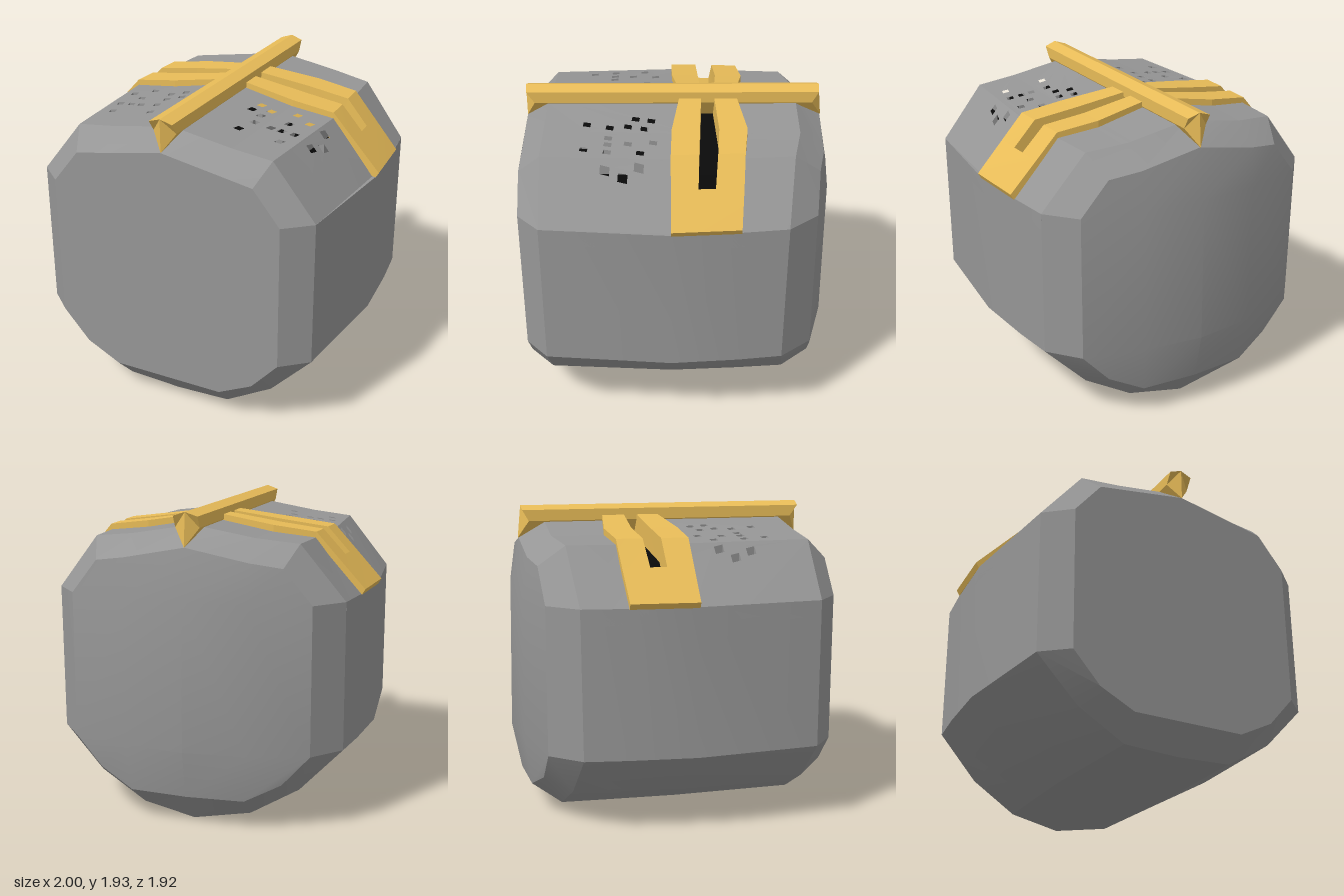
import * as THREE from 'three';
import { toCreasedNormals } from 'three/addons/utils/BufferGeometryUtils.js';

const GREY = 0x969696, GOLD = 0xe8bc58, BLACK = 0x0a0a0a;
const CREASE = 0.3;

// piecewise linear lookup through [input, output] pairs
function lerpTable(table, t) {
  if (t <= table[0][0]) return table[0][1];
  for (let i = 1; i < table.length; i++) {
    const [a, va] = table[i - 1], [b, vb] = table[i];
    if (t <= b) return va + (vb - va) * (t - a) / (b - a);
  }
  return table[table.length - 1][1];
}

// half cross-sections from top centre, down the left side, to bottom centre
const OUTER = [[0, 1.84], [0.385, 1.775], [0.64, 1.745], [0.91, 1.41], [0.91, 0.5], [0.65, 0.23], [0.35, 0.055], [0, 0.003]];
const INNER = [[0, 1.725], [0.385, 1.65], [0.58, 1.62], [0.75, 1.41], [0.75, 0.5], [0.58, 0.31], [0.36, 0.2], [0, 0.2]];
const CROWN = [[0, 1.41], [0.38, 1.41], [0.75, 1.41], [0.75, 1.41], [0.75, 0.5], [0.75, 0.5], [0.38, 0.5], [0, 0.5]];
// depth of the back rings at each point
const OUTER_Z = [-0.73, -0.73, -0.68, -0.64, -0.63, -0.66, -0.69, -0.74];
const INNER_Z = [-0.89, -0.88, -0.84, -0.82, -0.82, -0.83, -0.88, -0.905];
const CROWN_Z = [-0.95, -0.915, -0.82, -0.82, -0.82, -0.82, -0.92, -0.965];

// barrel swelling of the sides along z
const swell = (z) => lerpTable([[-0.64, 1], [-0.36, 1.04], [0.05, 1.077], [0.82, 1]], z);
const shellY = (x, z) => lerpTable(OUTER.slice(0, 4), Math.abs(x) / swell(z));
const bandScale = (z) => 1 - 0.03 * (0.05 - z) / 0.41;
const BAND_PROFILE = [[0, 1.875], [0.42, 1.815], [0.69, 1.78], [1, 1.44]];
const BAND_DEPTH = [[0.83, 0.15], [1, 0.035]];
const BAND_SHIFT = [[0.42, 0], [0.83, 0.06], [1, 0.02]];

function ring(half, zs, scale = 1) {
  const pts = half.map(([x, y], i) => [x * scale, y, Array.isArray(zs) ? zs[i] : zs]);
  const mirrored = pts.slice(1, -1).reverse().map(([x, y, z]) => [-x, y, z]);
  return pts.concat(mirrored);
}

// skin over rings running front to back, with a flat front and extra back faces
function loft(rings, backFaces, skip = () => false) {
  const pos = [];
  const fan = (pts) => {
    for (let i = 1; i < pts.length - 1; i++) pos.push(...pts[0], ...pts[i], ...pts[i + 1]);
  };
  const n = rings[0].length;
  for (let j = 0; j < rings.length - 1; j++) {
    for (let i = 0; i < n; i++) {
      const k = (i + 1) % n;
      if (!skip(i, j)) fan([rings[j][i], rings[j][k], rings[j + 1][k], rings[j + 1][i]]);
    }
  }
  const [first, ...rest] = rings[0];
  fan([first, ...rest.reverse()]);
  backFaces.forEach((face) => fan(face.map((i) => rings[rings.length - 1][i])));
  const g = new THREE.BufferGeometry();
  g.setAttribute('position', new THREE.Float32BufferAttribute(pos, 3));
  g.computeVertexNormals();
  return g;
}

// closed shell without the three upper facets on each side
function shellGeometry() {
  const front = ring(OUTER, 0.82);
  front[7][1] = 0.04;
  const rings = [
    ring(INNER, 0.957), front, ring(OUTER, 0.05, swell(0.05)), ring(OUTER, -0.36, swell(-0.36)),
    ring(OUTER, OUTER_Z), ring(INNER, INNER_Z), ring(CROWN, CROWN_Z),
  ];
  const crownFaces = [[0, 1, 6, 7], [1, 2, 5, 6], [0, 7, 8, 13], [13, 8, 9, 12]];
  return loft(rings, crownFaces, (i, j) => (i < 3 || i > 10) && j >= 1 && j <= 3);
}

// bar with a creased, pointed end: the lower shoulders sit back from the tips
function barGeometry() {
  const half = [[0, 1.93], [0.075, 1.905], [0.075, 1.835], [0, 1.725]];
  return loft(
    [ring(half, [0.957, 0.95, 0.9, 0.957]), ring(half, [-0.875, -0.87, -0.83, -0.895])],
    [[0, 1, 2, 3, 4, 5]]);
}

// slab from a plan outline in (x, z), each vertex moved by place(x, z, depth 0..1)
function slab(outline, holes, place) {
  const v = ([x, z]) => new THREE.Vector2(x, -z);
  const shape = new THREE.Shape(outline.map(v));
  holes.forEach((h) => shape.holes.push(new THREE.Path(h.map(v))));
  const g = new THREE.ExtrudeGeometry(shape, { depth: 1, bevelEnabled: false });
  const p = g.attributes.position;
  for (let i = 0; i < p.count; i++) p.setXYZ(i, ...place(p.getX(i), -p.getY(i), 1 - p.getZ(i)));
  g.computeVertexNormals();
  return g;
}

// breathing holes, as (x, z) centres grouped by facet
const HOLES = [
  [[0.265, 0.17], [0.35, 0.21], [0.245, 0.265], [0.325, 0.31], [0.335, 0.42], [0.3, 0.56]],
  [[0.5, 0.155], [0.61, 0.23], [0.51, 0.305], [0.445, 0.425], [0.515, 0.425], [0.595, 0.425], [0.565, 0.565]],
  [[0.71, 0.235], [0.745, 0.33], [0.71, 0.435]],
];

export function createModel() {
  const model = new THREE.Group();
  const add = (name, geometry, color, parent = model) => {
    const m = new THREE.Mesh(toCreasedNormals(geometry, CREASE), new THREE.MeshStandardMaterial({ color }));
    m.name = name;
    parent.add(m);
  };
  const group = (name) => {
    const g = new THREE.Group();
    g.name = name;
    model.add(g);
    return g;
  };

  add('helmetShell', shellGeometry(), GREY);
  add('ridgeBar', barGeometry(), GOLD);

  const face = group('piercedFacePlates');
  const visor = group('visorBand');
  // visor columns: [position, back edge, front edge, slit back, slit front]
  const cols = [
    [0, -0.35, -0.01, -0.215, -0.14], [0.42, -0.41, 0.045, -0.24, -0.125], [0.69, -0.385, 0.05, -0.225, -0.115],
    [0.83, -0.375, 0.05, -0.21, -0.11], [1, -0.36, 0.05],
  ];

  for (const side of [1, -1]) {
    // face plates, parted below the eye slit, and the dark lining under them
    const platePlace = (x, z, d) => [x, shellY(x, z) - 0.1 * d, z];
    const liningPlace = (x, z, d) => [x * 0.95, shellY(x, z) - 0.12 - 0.02 * d, z * 0.95];
    for (let f = 0; f < 3; f++) {
      const edge = (i, zs) => zs.map((z) => [side * OUTER[i][0] * swell(z), z]);
      const outline = (zs, toBack) => {
        const [a, b] = [f, f + 1].map((i) => edge(i, toBack ? [...zs, OUTER_Z[i]] : zs));
        return [...a, ...b.reverse()];
      };
      const w = f === 2 ? 0.017 : 0.021, h = f === 2 ? 0.03 : 0.025, skew = 0.006;
      const holes = HOLES[f].map(([x, z]) =>
        [[-w + skew, -h], [w + skew, -h + 0.004], [w - skew, h], [-w - skew, h - 0.004]]
          .map(([dx, dz]) => [side * (x + dx), z + dz]));
      add('frontPlate', slab(outline([0.82, 0.05, -0.1], false), holes, platePlace), GREY, face);
      add('backPlate', slab(outline([-0.25, -0.36], true), [], platePlace), GREY, face);
      add('darkLining', slab(outline([0.82, 0.05, -0.36], true), [], liningPlace), BLACK, face);
    }

    // gold visor band around the eye slit
    const bandPlace = (x, z, d) => {
      const u = Math.abs(x) / bandScale(z);
      return [x - side * lerpTable(BAND_SHIFT, u) * d, lerpTable(BAND_PROFILE, u) - lerpTable(BAND_DEPTH, u) * d, z];
    };
    const strip = (a, b, i, j) => [[a, i], [a, j], [b, j], [b, i]]
      .map(([c, k]) => [side * c[0] * bandScale(c[k]), c[k]]);
    for (let i = 0; i < 3; i++) {
      const [a, b] = [cols[i], cols[i + 1]];
      add('visorUpperStrip', slab(strip(a, b, 1, 3), [], bandPlace), GOLD, visor);
      add('visorLowerStrip', slab(strip(a, b, 4, 2), [], bandPlace), GOLD, visor);
    }
    add('visorEnd', slab(strip(cols[3], cols[4], 1, 2), [], bandPlace), GOLD, visor);
  }

  return model;
}
